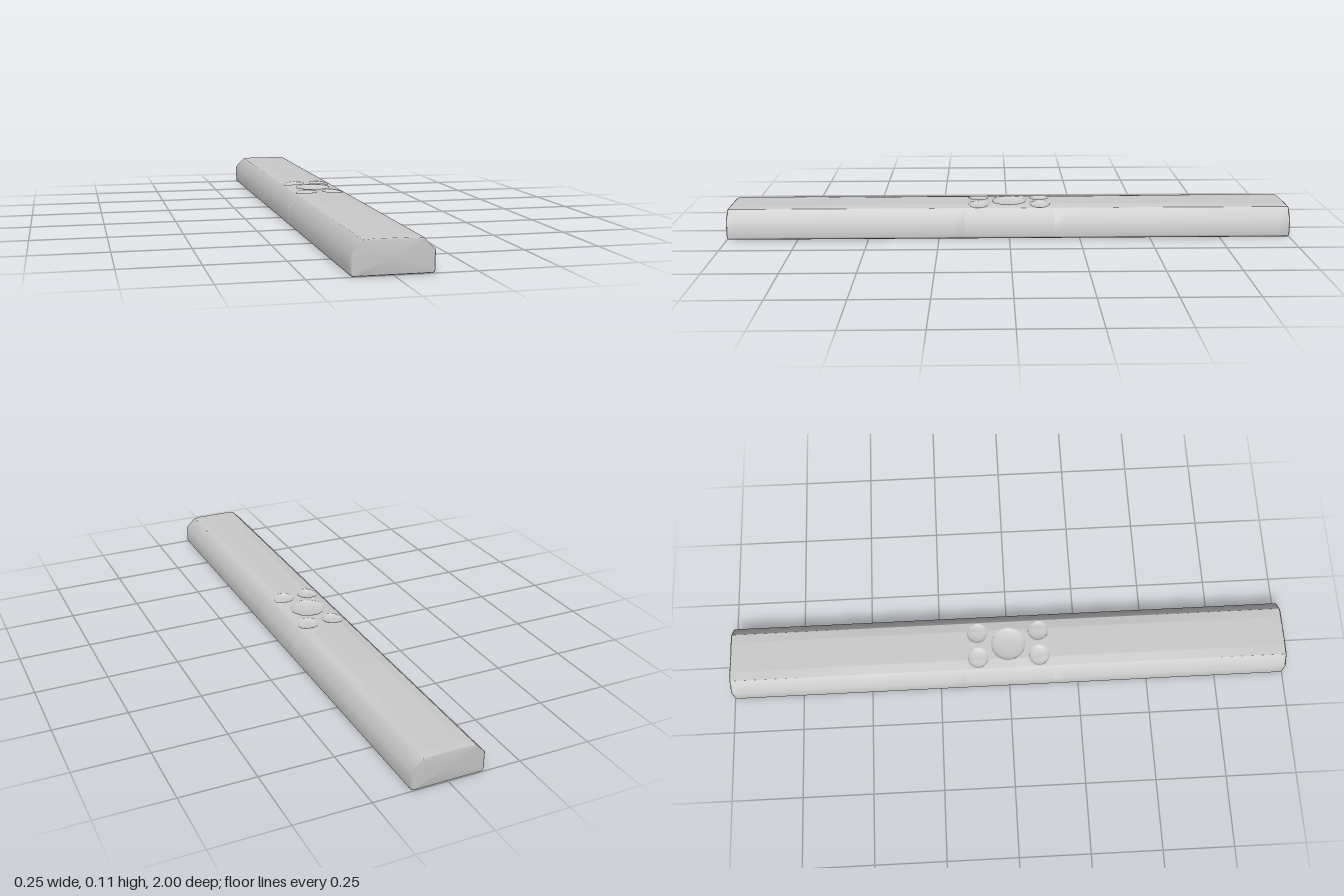
import * as THREE from 'three';

const COLS = 88;          // columns across the top face
const EDGE = 0.089;       // half width of the top face

// Five round dimples: x, z, radius, depth
const dimples = [[0, 0, 0.06, 0.012]];
for (const sx of [-1, 1]) for (const sz of [-1, 1]) dimples.push([sx * 0.047, sz * 0.11, 0.036, 0.01]);

// Height of the slightly crowned top, with the dimples pressed in
function topHeight(x, z) {
  const along = 1 - THREE.MathUtils.smoothstep(Math.abs(z), 0.4, 1);
  const across = THREE.MathUtils.clamp((EDGE - Math.abs(x)) / 0.034, 0, 1);
  let y = 0.103 + (0.002 + 0.004 * along) * across;
  for (const [dx, dz, r, depth] of dimples) {
    const d = Math.hypot(x - dx, z - dz) / r;
    if (d < 1) y -= depth * Math.sqrt(1 - d * d);
  }
  return y;
}

// Counter-clockwise cross-section at z
function section(z) {
  const side = [[0.117, 0], [0.122, 0.003], [0.124, 0.009], [0.124, 0.067]];
  const pts = side.map(p => [...p]);
  for (let i = 0; i <= COLS; i++) {
    const x = EDGE - (2 * EDGE * i) / COLS;
    pts.push([x, topHeight(x, z)]);
  }
  for (const [x, y] of side.reverse()) pts.push([-x, y]);
  return pts;
}

function barGeometry() {
  // Rows are dense around the dimples and sparse elsewhere
  const rows = [];
  for (let i = 0; i < 22; i++) rows.push(-0.995 + (0.835 * i) / 22);
  for (let i = 0; i <= 160; i++) rows.push(-0.16 + 0.002 * i);
  for (let i = 21; i >= 0; i--) rows.push(0.995 - (0.835 * i) / 22);

  const rings = rows.map(z => section(z).map(([x, y]) => [x, y, z]));
  // Slightly inset rings round off both ends
  const inset = (ring, z) => ring.map(([x, y]) => [x * 0.965, 0.052 + (y - 0.052) * 0.94, z]);
  rings.unshift(inset(rings[0], -1));
  rings.push(inset(rings[rings.length - 1], 1));

  const n = rings[0].length, last = (rings.length - 1) * n;
  const pos = rings.flat(2), index = [];
  for (let r = 0; r < rings.length - 1; r++) {
    for (let i = 0; i < n; i++) {
      const a = r * n + i, b = r * n + (i + 1) % n;
      index.push(a, b, a + n, b, b + n, a + n);
    }
  }
  // End caps
  const back = pos.length / 3, front = back + 1;
  pos.push(0, 0.05, -1, 0, 0.05, 1);
  for (let i = 0; i < n; i++) {
    const j = (i + 1) % n;
    index.push(back, j, i, front, last + i, last + j);
  }
  const g = new THREE.BufferGeometry();
  g.setAttribute('position', new THREE.Float32BufferAttribute(pos, 3));
  g.setIndex(index);
  g.computeVertexNormals();
  return g;
}

export function createModel() {
  const group = new THREE.Group();
  const bar = new THREE.Mesh(barGeometry(), new THREE.MeshStandardMaterial({ color: 0xcccccc }));
  bar.name = 'dimpledBar';
  group.add(bar);
  return group;
}
